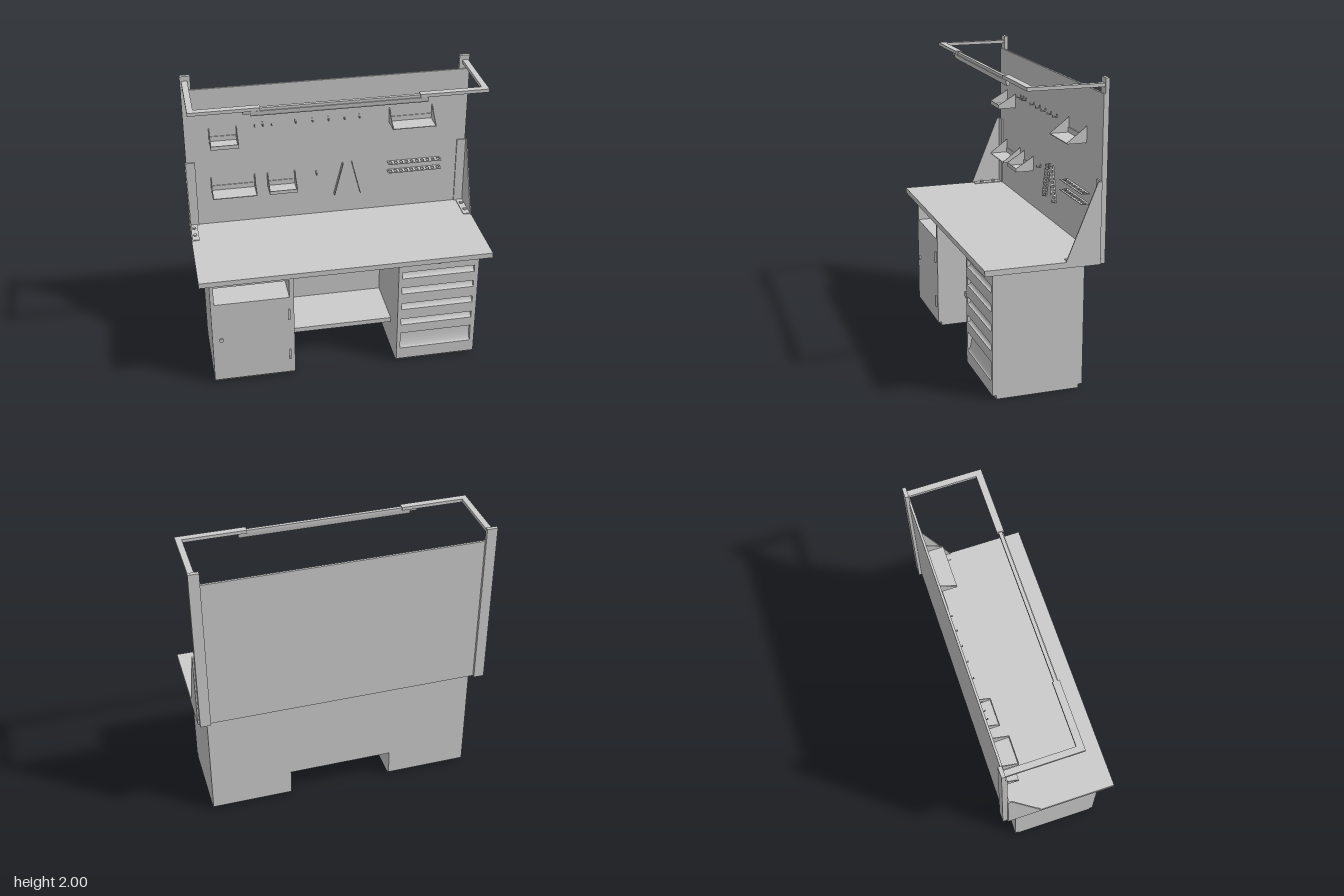
import * as THREE from 'three';

const grey = new THREE.MeshStandardMaterial({ color: 0xcccccc, flatShading: true });

export function createModel() {
  const root = new THREE.Group();
  root.name = 'workbench';

  const add = (name, geometry, parent = root) => {
    const mesh = new THREE.Mesh(geometry, grey);
    mesh.name = name;
    parent.add(mesh);
    return mesh;
  };
  const group = (name) => {
    const g = new THREE.Group();
    g.name = name;
    root.add(g);
    return g;
  };
  // Box given by its limits
  const box = (name, x0, x1, y0, y1, z0, z1, parent) =>
    add(name, new THREE.BoxGeometry(x1 - x0, y1 - y0, z1 - z0)
      .translate((x0 + x1) / 2, (y0 + y1) / 2, (z0 + z1) / 2), parent);

  const rect = (x0, x1, y0, y1, Type = THREE.Shape) =>
    new Type([[x0, y0], [x1, y0], [x1, y1], [x0, y1]].map(p => new THREE.Vector2(...p)));
  // Plate with rectangular holes, extruded along z
  const holedGeometry = (outer, holes, z0, z1) => {
    const shape = rect(...outer);
    shape.holes = holes.map(h => rect(...h, THREE.Path));
    return new THREE.ExtrudeGeometry(shape, { depth: z1 - z0, bevelEnabled: false }).translate(0, 0, z0);
  };
  // Profile of [z, y] points, extruded along x
  const sideProfile = (name, pts, x0, x1, parent) => {
    const shape = new THREE.Shape(pts.map(p => new THREE.Vector2(...p)));
    const geo = new THREE.ExtrudeGeometry(shape, { depth: x1 - x0, bevelEnabled: false });
    return add(name, geo.rotateY(-Math.PI / 2).translate(x1, 0, 0), parent);
  };
  const lock = (x, y, parent) =>
    add('lock', new THREE.CylinderGeometry(0.014, 0.014, 0.012, 20)
      .rotateX(Math.PI / 2).translate(x, y, 0.325), parent);

  box('tabletop', -0.99, 0.99, 0.843, 0.88, -0.36, 0.39);

  // Cupboard with an open compartment above the door
  const cupboard = group('cupboard');
  box('plinth', -0.92, -0.36, 0, 0.025, -0.255, 0.295, cupboard);
  box('body', -0.92, -0.36, 0.025, 0.843, -0.28, 0.11, cupboard);
  add('front', holedGeometry([-0.92, -0.36, 0.025, 0.843], [[-0.895, -0.39, 0.65, 0.785]], 0.11, 0.32), cupboard);
  for (const y of [0.14, 0.475]) box('hinge', -0.4, -0.388, y, y + 0.08, 0.318, 0.332, cupboard);
  lock(-0.86, 0.36, cupboard);

  // Drawer unit with scooped handle recesses
  const drawers = group('drawerUnit');
  const scoops = [[0.7, 0.75], [0.575, 0.625], [0.445, 0.495], [0.315, 0.365], [0.115, 0.245]];
  box('plinth', 0.36, 0.92, 0, 0.025, -0.255, 0.295, drawers);
  box('body', 0.36, 0.92, 0.025, 0.843, -0.28, 0.285, drawers);
  add('drawerFronts', holedGeometry([0.36, 0.92, 0.025, 0.843],
    scoops.map(([a, b]) => [0.385, 0.89, a, b]), 0.285, 0.32), drawers);
  for (const [y0, y1] of scoops) {
    const pts = [[0.28, y1], [0.28, y0]];
    for (let i = 8; i >= 0; i--) {
      const t = i / 8 * Math.PI / 2;
      pts.push([0.319 - 0.03 * Math.cos(t), y1 - (y1 - y0) * Math.sin(t)]);
    }
    sideProfile('handleScoop', pts, 0.385, 0.89, drawers);
  }
  lock(0.64, 0.81, drawers);

  // Knee space between the pedestals
  box('kneePanel', -0.36, 0.36, 0.205, 0.843, -0.28, -0.26);
  box('footShelf', -0.36, 0.36, 0.205, 0.24, -0.28, 0.12);

  // Back panel, posts and gussets
  box('backPanel', -0.98, 0.98, 0.845, 1.905, -0.37, -0.355);
  for (const s of [-1, 1]) {
    const side = group(s > 0 ? 'leftSupport' : 'rightSupport');
    const sbox = (name, x0, x1, ...rest) =>
      box(name, Math.min(s * x0, s * x1), Math.max(s * x0, s * x1), ...rest, side);
    sbox('post', 0.91, 0.98, 0.845, 2, -0.39, -0.365);
    const plate = [[-0.355, 0.88], [-0.13, 0.88], [-0.33, 1.37], [-0.355, 1.37]];
    sideProfile('gusset', plate, s > 0 ? 0.982 : -0.99, s > 0 ? 0.99 : -0.982, side);
    sbox('gussetFlange', 0.92, 0.985, 0.88, 1.37, -0.356, -0.345);
    sbox('gussetFoot', 0.935, 0.985, 0.88, 0.886, -0.345, -0.14);
    for (const z of [-0.29, -0.2])
      add('bolt', new THREE.CylinderGeometry(0.014, 0.014, 0.01, 6).translate(s * 0.96, 0.89, z), side);
    sbox('lightArm', 0.93, 0.97, 1.945, 1.967, -0.366, 0.125);
    sbox('lightRailEnd', 0.515, 0.93, 1.945, 1.967, 0.08, 0.125);
  }

  // Lamp on the front rail
  const lamp = group('lamp');
  box('lightRail', -0.53, 0.53, 1.942, 1.96, 0.09, 0.113, lamp);
  sideProfile('lampTube', [[0.09, 1.942], [0.093, 1.918], [0.1, 1.906], [0.11, 1.906], [0.117, 1.918], [0.12, 1.942]],
    -0.575, 0.57, lamp);
  sideProfile('lampSwitch', [[0.095, 1.942], [0.1, 1.922], [0.112, 1.922], [0.115, 1.942]], -0.625, -0.575, lamp);

  // Wall trays: x0, x1, floor height, top height, front lip height
  const trays = [
    [-0.815, -0.625, 1.515, 1.617, 0.028], [0.425, 0.73, 1.553, 1.66, 0],
    [-0.82, -0.515, 1.138, 1.243, 0], [-0.43, -0.235, 1.137, 1.243, 0.025],
  ];
  for (const [x0, x1, y0, y1, lip] of trays) {
    const tray = group('wallTray');
    const t = 0.005, zb = -0.355, zf = -0.225;
    box('trayFloor', x0, x1, y0, y0 + t, zb, zf, tray);
    box('trayBack', x0, x1, y0, y0 + 0.04, zb, zb + t, tray);
    if (lip) box('trayLip', x0, x1, y0, y0 + lip, zf - t, zf, tray);
    for (const x of [x0, x1 - t])
      sideProfile('traySide', [[zb, y0], [zf, y0], [zf, y0 + Math.max(lip, 0.008)], [zb, y1]], x, x + t, tray);
  }

  // Hooks
  const hooks = [-0.505, -0.45, -0.39, -0.225, -0.11, 0, 0.11, 0.215].map(x => [x, 1.612]);
  hooks.push([-0.085, 1.2]);
  for (const [x, y] of hooks) {
    const hook = group('hook');
    box('hookPlate', x - 0.004, x + 0.004, y, y + 0.022, -0.356, -0.35, hook);
    box('hookPin', x - 0.003, x + 0.003, y, y + 0.006, -0.355, -0.32, hook);
    box('hookTip', x - 0.003, x + 0.003, y, y + 0.018, -0.326, -0.32, hook);
  }

  // Perforated tool strips that stand out from the panel
  const strip = (cx, cy, length, depth, count, angle) => {
    const step = length / count, holes = [];
    for (let i = 0; i < count; i++) {
      const x = -length / 2 + i * step;
      holes.push([x + step * 0.22, x + step * 0.78, -depth * 0.75, -depth * 0.25]);
    }
    const geo = holedGeometry([-length / 2, length / 2, -depth, 0], holes, -0.002, 0.002);
    const mesh = add('toolStrip', geo.rotateX(-Math.PI / 2));
    mesh.position.set(cx, cy, -0.355);
    mesh.rotation.z = angle;
  };
  strip(0.61, 1.245, 0.38, 0.055, 10, 0);
  strip(0.61, 1.178, 0.38, 0.055, 10, 0);
  strip(0.07, 1.15, 0.25, 0.035, 10, Math.atan2(0.24, 0.06));
  strip(0.195, 1.15, 0.25, 0.035, 10, Math.atan2(0.24, -0.06));

  return root;
}
